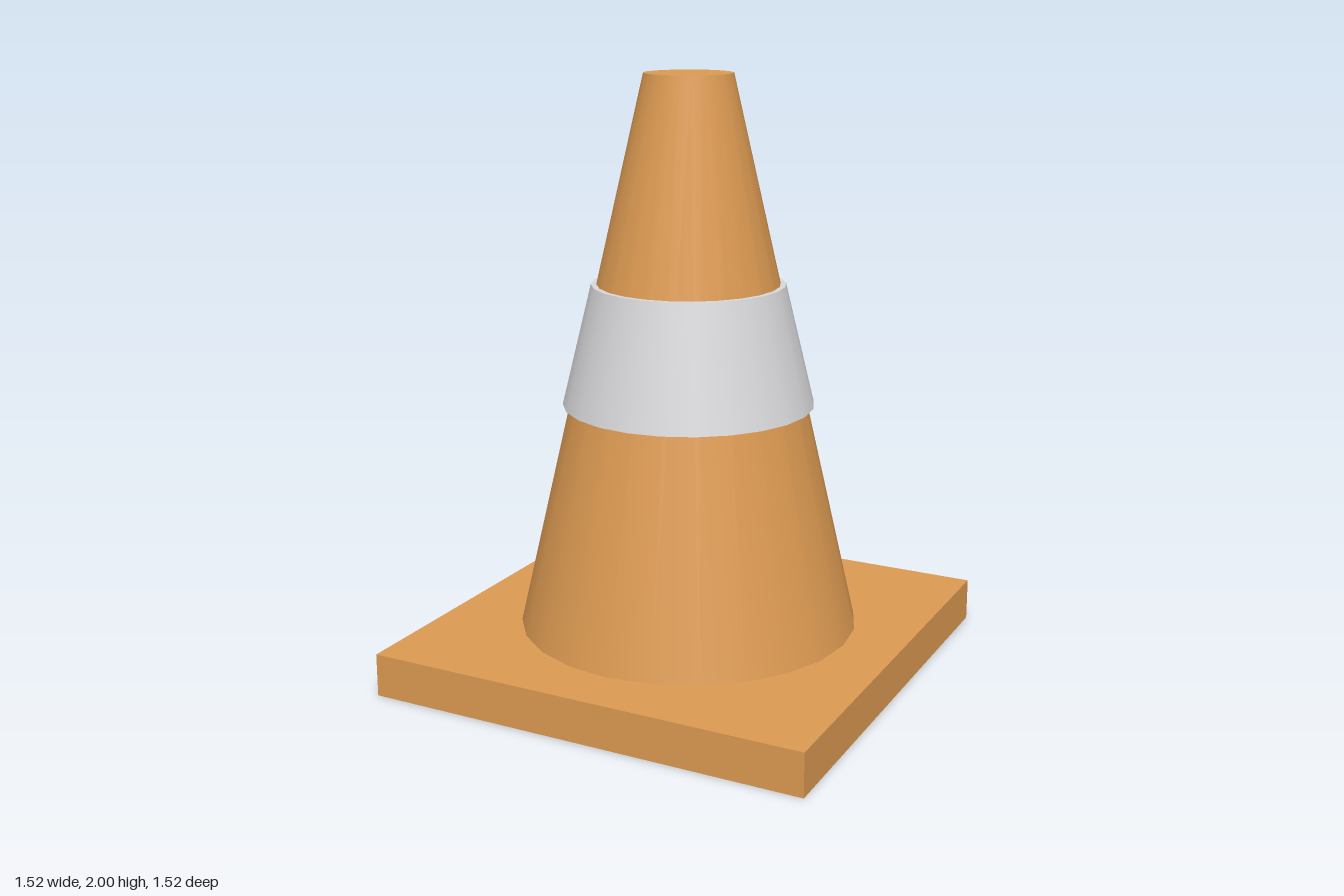
import * as THREE from 'three';

const SIDES = 24;
const BASE_TOP = 0.145;

export function createModel() {
  const orange = new THREE.MeshStandardMaterial({ color: 0xdc9a52 });
  orange.name = 'orange plastic';
  const grey = new THREE.MeshStandardMaterial({ color: 0xd8d8da });
  grey.name = 'reflective grey';

  const model = new THREE.Group();
  model.name = 'trafficCone';

  // Capped tapered cylinder standing between two heights
  const taper = (name, material, rTop, rBottom, y0, y1) => {
    const mesh = new THREE.Mesh(
      new THREE.CylinderGeometry(rTop, rBottom, y1 - y0, SIDES), material);
    mesh.name = name;
    mesh.position.y = (y0 + y1) / 2;
    model.add(mesh);
  };

  // Square foot plate
  const base = new THREE.Mesh(new THREE.BoxGeometry(1.52, BASE_TOP, 1.52), orange);
  base.name = 'base';
  base.position.y = BASE_TOP / 2;
  model.add(base);

  // Cone body, with a slightly wider band around it
  taper('coneBody', orange, 0.146, 0.574, BASE_TOP, 2);
  taper('reflectiveBand', grey, 0.322, 0.421, 0.91, 1.316);

  return model;
}
